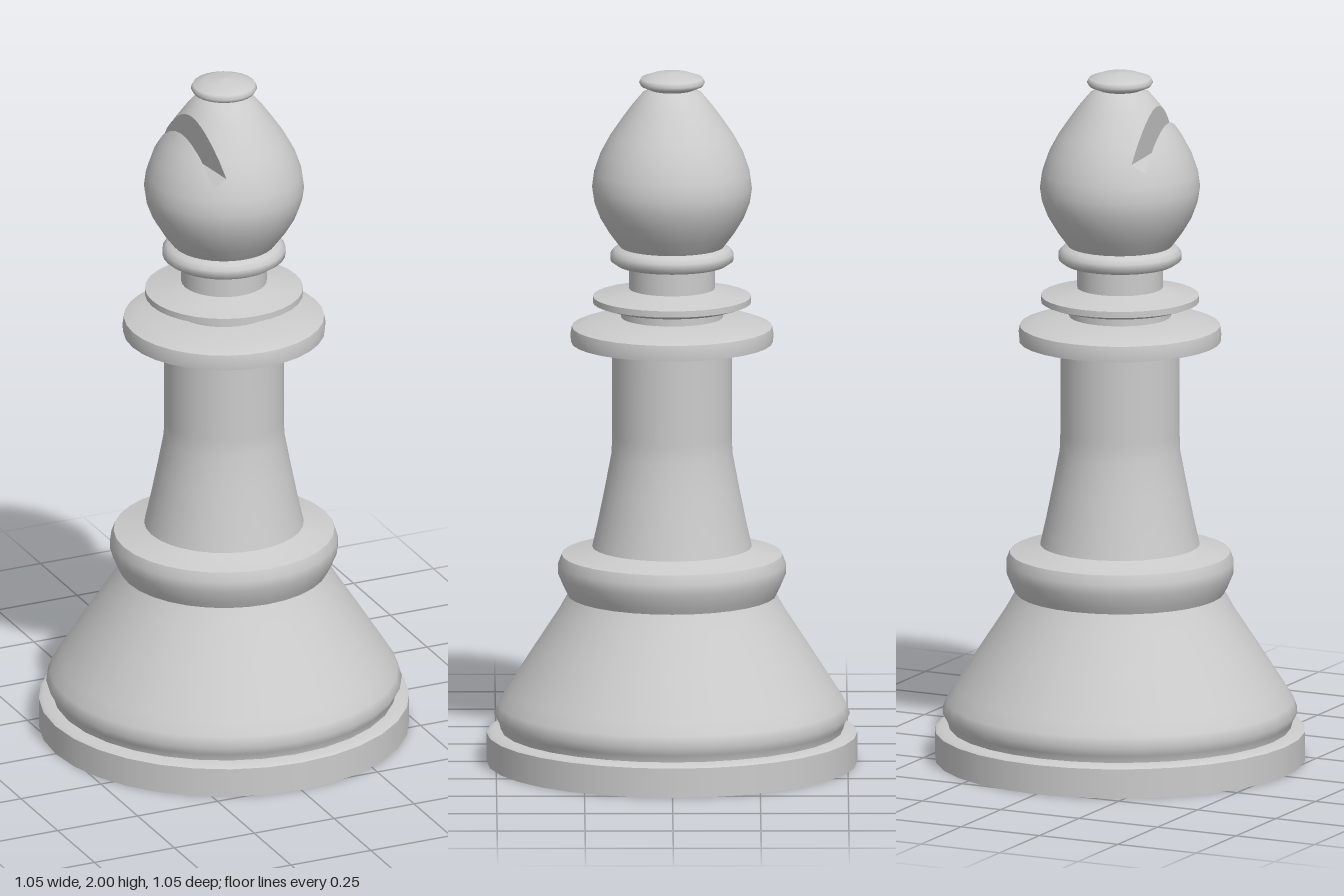
import * as THREE from 'three';

const SIDES = 32;
const material = new THREE.MeshStandardMaterial({ color: 0xcccccc });

// Turned parts, each a list of [radius, height] from bottom to top; parts split at hard edges
const turned = {
  baseUnderside: [[0, 0], [0.527, 0]],
  baseRim: [[0.527, 0], [0.527, 0.085]],
  baseRimTop: [[0.527, 0.085], [0.515, 0.092], [0.487, 0.095]],
  baseBell: [[0.487, 0.095], [0.492, 0.115], [0.506, 0.14], [0.495, 0.17], [0.47, 0.21], [0.39, 0.335], [0.325, 0.435], [0.297, 0.485]],
  shoulderRing: [[0.297, 0.485], [0.307, 0.505], [0.324, 0.545], [0.324, 0.575], [0.314, 0.602]],
  shoulderTop: [[0.314, 0.602], [0.27, 0.612], [0.227, 0.625]],
  shaft: [[0.227, 0.625], [0.21, 0.7], [0.19, 0.8], [0.172, 0.895], [0.17, 0.95], [0.17, 1.225]],
  collarUnderside: [[0.17, 1.228], [0.287, 1.217]],
  collar: [[0.287, 1.217], [0.289, 1.24], [0.285, 1.262]],
  collarTop: [[0.285, 1.262], [0.235, 1.28], [0.145, 1.29]],
  collarGroove: [[0.145, 1.29], [0.145, 1.312]],
  upperDiscUnderside: [[0.145, 1.312], [0.19, 1.32], [0.225, 1.332]],
  upperDisc: [[0.225, 1.332], [0.225, 1.35]],
  upperDiscTop: [[0.225, 1.35], [0.17, 1.362], [0.122, 1.373]],
  neck: [[0.122, 1.373], [0.122, 1.437]],
  neckRing: [[0.122, 1.437], [0.158, 1.443], [0.175, 1.455], [0.175, 1.475], [0.163, 1.488], [0.148, 1.495]],
  knob: [[0.062, 1.949], [0.088, 1.96], [0.094, 1.97], [0.088, 1.982], [0.055, 1.994], [0, 2]],
};
const headProfile = [[0.148, 1.495], [0.178, 1.535], [0.205, 1.58], [0.222, 1.625], [0.228, 1.665], [0.222, 1.71],
  [0.203, 1.765], [0.176, 1.815], [0.144, 1.862], [0.115, 1.902], [0.085, 1.938], [0.062, 1.949]];

const lathe = (profile) =>
  new THREE.LatheGeometry(profile.map(([r, y]) => new THREE.Vector2(r, y)), SIDES);

function headRadius(y) {
  for (let i = 1; i < headProfile.length; i++) {
    const [r0, y0] = headProfile[i - 1], [r1, y1] = headProfile[i];
    if (y <= y1) return (r0 + ((r1 - r0) * (y - y0)) / (y1 - y0)) * 0.9975;
  }
  return 0;
}

// Half width of the head along z at a point of the xy plane
const halfWidth = ([x, y]) => Math.sqrt(Math.max(0, headRadius(y) ** 2 - x * x));
const mix = (a, b, t) => a.map((v, i) => v + (b[i] - v) * t);

// Keeps the part of a polygon on one side (sign) of the line a-b in xy
function clip(poly, [a, b], sign) {
  const side = (p) => sign * ((b[0] - a[0]) * (p[1] - a[1]) - (b[1] - a[1]) * (p[0] - a[0]));
  const out = [];
  poly.forEach((p, i) => {
    const q = poly[(i + 1) % poly.length], sp = side(p), sq = side(q);
    if (sp >= 0) out.push(p);
    if ((sp >= 0) !== (sq >= 0)) out.push(mix(p, q, sp / (sp - sq)));
  });
  return out;
}

// Rounded head with a narrow slot cut through it
function headGeometry() {
  const leftFloor = [-0.135, 1.746], rightFloor = [-0.098, 1.772];
  const outerWall = [leftFloor, [-0.149, 1.91]];
  const innerWall = [rightFloor, [-0.114, 1.935]];
  const floor = [leftFloor, rightFloor];
  const position = [], normal = [];
  const addPolygon = (poly) => {
    for (let i = 2; i < poly.length; i++)
      for (const v of [poly[0], poly[i - 1], poly[i]]) {
        position.push(...v.slice(0, 3));
        normal.push(...v.slice(3));
      }
  };

  // Outer skin, without the area of the slot
  const skin = lathe(headProfile).toNonIndexed();
  const { position: P, normal: N } = skin.attributes;
  for (let i = 0; i < P.count; i += 3) {
    const tri = [i, i + 1, i + 2].map((k) =>
      [P.getX(k), P.getY(k), P.getZ(k), N.getX(k), N.getY(k), N.getZ(k)]);
    const inside = clip(tri, outerWall, -1);
    addPolygon(clip(tri, outerWall, 1));
    addPolygon(clip(inside, innerWall, -1));
    addPolygon(clip(clip(inside, innerWall, 1), floor, -1));
  }

  // Flat slot faces, each spanning the head along z
  const exitPoint = ([a, b]) => {
    let lo = 0, hi = 1;
    for (let i = 0; i < 30; i++) {
      const t = (lo + hi) / 2;
      if (halfWidth(mix(a, b, t)) > 0) lo = t; else hi = t;
    }
    return mix(a, b, hi);
  };
  const addFace = (a, b) => {
    const steps = 24, len = Math.hypot(b[0] - a[0], b[1] - a[1]);
    const n = [-(b[1] - a[1]) / len, (b[0] - a[0]) / len, 0];
    const row = (i) => {
      const p = mix(a, b, (1 - Math.cos((Math.PI * i) / steps)) / 2), w = halfWidth(p);
      return [[...p, -w, ...n], [...p, w, ...n]];
    };
    for (let i = 0; i < steps; i++) {
      const [p0, q0] = row(i), [p1, q1] = row(i + 1);
      addPolygon([p0, q0, q1, p1]);
    }
  };
  addFace(exitPoint(outerWall), leftFloor);
  addFace(leftFloor, rightFloor);
  addFace(rightFloor, exitPoint(innerWall));

  const geometry = new THREE.BufferGeometry();
  geometry.setAttribute('position', new THREE.Float32BufferAttribute(position, 3));
  geometry.setAttribute('normal', new THREE.Float32BufferAttribute(normal, 3));
  return geometry;
}

export function createModel() {
  const group = new THREE.Group();
  group.name = 'chessBishop';
  const add = (name, geometry) => {
    const mesh = new THREE.Mesh(geometry, material);
    mesh.name = name;
    group.add(mesh);
    return mesh;
  };
  for (const [name, profile] of Object.entries(turned)) add(name, lathe(profile));
  // The slot runs slightly askew from back to front
  add('slottedHead', headGeometry()).rotation.y = 0.12;
  return group;
}
